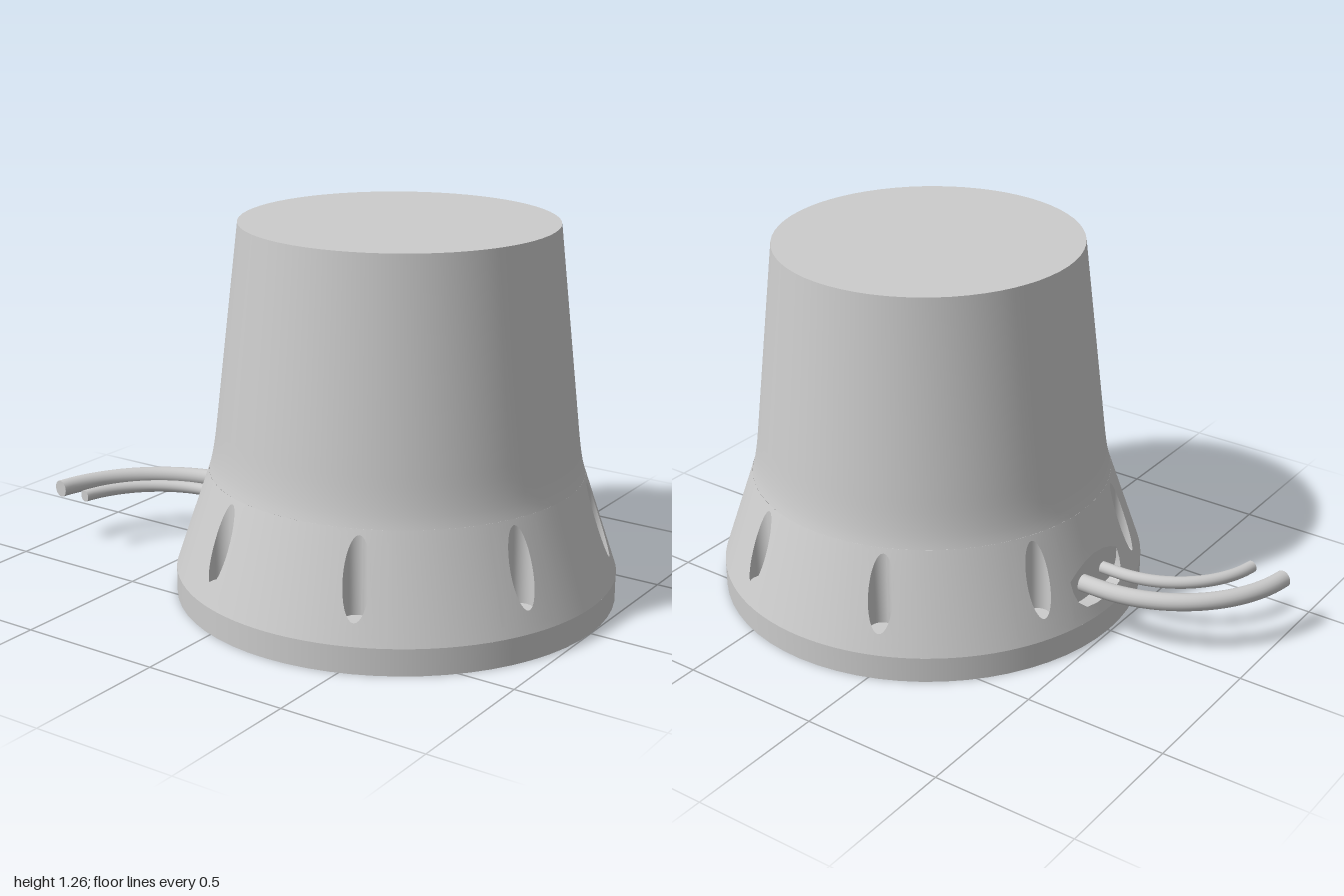
import * as THREE from 'three';
import { toCreasedNormals } from 'three/addons/utils/BufferGeometryUtils.js';

const BASE_R = 0.745, BASE_Y = 0.09, NECK_R = 0.63, NECK_Y = 0.43;
const SLOPE = (BASE_R - NECK_R) / (NECK_Y - BASE_Y);
const BOLT_R = 0.679, BOLT_HOLE = 0.043, STEP = Math.PI / 4;
const N = 8; // segments per side of every pocket outline

// Height of the flared skirt at a radius, and the reverse
const skirtY = r => BASE_Y + (BASE_R - r) / SLOPE;
const skirtR = y => BASE_R - SLOPE * (y - BASE_Y);

// Plan outlines: [u outward, v sideways] for side 0..3 and s in 0..1
function circleOutline(side, s) {
  const a = (side + s - 0.5) * Math.PI / 2;
  return [BOLT_R + BOLT_HOLE * Math.cos(a), BOLT_HOLE * Math.sin(a)];
}
const SLOT_HALF = 0.145, SLOT_ROUND = 0.07, SLOT_BACK = 0.68;
function slotFloor(v) {
  const d = Math.min(SLOT_ROUND, Math.max(0, Math.abs(v) - (SLOT_HALF - SLOT_ROUND)));
  return 0.2 - Math.sqrt(SLOT_ROUND ** 2 - d ** 2);
}
function slotOutline(side, s) {
  const edge = v => Math.sqrt(skirtR(slotFloor(v)) ** 2 - v * v);
  const v = -SLOT_HALF * Math.cos(Math.PI * s);
  if (side === 0) return [edge(v), v];
  if (side === 2) return [SLOT_BACK, -v];
  const t = side === 1 ? s : 1 - s;
  return [THREE.MathUtils.lerp(edge(SLOT_HALF), SLOT_BACK, t), side === 1 ? SLOT_HALF : -SLOT_HALF];
}

// Outline of a skirt sector, matching the order of the pocket sides
function sectorOutline(side, s, half) {
  if (side === 0) return [half * (2 * s - 1), BASE_R];
  if (side === 1) return [half, THREE.MathUtils.lerp(BASE_R, NECK_R, s)];
  if (side === 2) return [half * (1 - 2 * s), NECK_R];
  return [-half, THREE.MathUtils.lerp(NECK_R, BASE_R, s)];
}

function buildSkirt() {
  const pos = [];
  const point = (a, r, y) => [r * Math.cos(a), y, r * Math.sin(a)];
  const quad = (a, b, c, d) => pos.push(...a, ...b, ...c, ...a, ...c, ...d);

  function plainSector(mid, half) {
    for (let i = 0; i < N; i++) {
      const a = mid + half * (2 * i / N - 1), b = mid + half * (2 * (i + 1) / N - 1);
      quad(point(a, BASE_R, BASE_Y), point(a, NECK_R, NECK_Y),
        point(b, NECK_R, NECK_Y), point(b, BASE_R, BASE_Y));
    }
  }

  function pocketSector(mid, half, outline, floorAt) {
    const rings = 3, cols = [], tops = [], floors = [];
    for (let k = 0; k < 4 * N; k++) {
      const side = Math.floor(k / N), s = (k % N) / N;
      const [u, v] = outline(side, s);
      const a = Math.atan2(v, u), r = Math.hypot(u, v);
      const [ba, br] = sectorOutline(side, s, half);
      const col = [];
      for (let j = 0; j <= rings; j++) {
        const t = j / rings, rr = br + (r - br) * t;
        col.push(point(mid + ba + (a - ba) * t, rr, skirtY(rr)));
      }
      cols.push(col);
      tops.push(col[rings]);
      floors.push(point(mid + a, r, floorAt(v)));
    }
    const M = 4 * N;
    for (let k = 0; k < M; k++) {
      const n = (k + 1) % M;
      for (let j = 0; j < rings; j++) quad(cols[k][j], cols[k][j + 1], cols[n][j + 1], cols[n][j]);
      quad(tops[k], floors[k], floors[n], tops[n]); // pocket wall
    }
    // Pocket floor, stitched across from outer edge to back edge
    const f = k => floors[(3.5 * N + k + M) % M];
    for (let k = 0; k < M / 2; k++) quad(f(k), f(M - k), f(M - k - 1), f(k + 1));
  }

  const holeHalf = STEP * 3 / 16, plainHalf = STEP * 5 / 16;
  for (let i = 0; i < 8; i++) {
    pocketSector((i + 0.5) * STEP, holeHalf, circleOutline, () => 0.15);
    if (i === 4) pocketSector(i * STEP, plainHalf, slotOutline, slotFloor);
    else plainSector(i * STEP, plainHalf);
  }
  const g = new THREE.BufferGeometry();
  g.setAttribute('position', new THREE.Float32BufferAttribute(pos, 3));
  return toCreasedNormals(g, 0.3);
}

export function createModel() {
  const model = new THREE.Group();
  model.name = 'bellHousingWithCables';
  const material = new THREE.MeshStandardMaterial({ color: 0xcccccc, side: THREE.DoubleSide });
  const add = (parent, name, geometry) => {
    const mesh = new THREE.Mesh(geometry, material);
    mesh.name = name;
    parent.add(mesh);
    return mesh;
  };
  const V2 = (x, y) => new THREE.Vector2(x, y);

  const housing = new THREE.Group();
  housing.name = 'housing';
  housing.position.x = 0.255;
  model.add(housing);

  // Skirt with bolt recesses and cable slot, above a straight rim
  add(housing, 'skirt', buildSkirt());
  add(housing, 'baseRim', new THREE.CylinderGeometry(BASE_R, BASE_R, BASE_Y, 64, 1, true))
    .position.y = BASE_Y / 2;

  // Tapered upper body with a soft bend above the skirt
  const bend = new THREE.QuadraticBezierCurve(V2(NECK_R, NECK_Y), V2(0.614, 0.478), V2(0.602, 0.59));
  add(housing, 'upperBody', toCreasedNormals(
    new THREE.LatheGeometry([...bend.getPoints(6), V2(0.525, 1.265)], 64).toNonIndexed(), 0.3));
  const top = add(housing, 'topFace', new THREE.CircleGeometry(0.525, 64));
  top.rotation.x = -Math.PI / 2;
  top.position.y = 1.265;

  // Underside with blind screw holes
  const plate = new THREE.Shape().absarc(0, 0, BASE_R, 0, Math.PI * 2);
  const screwR = 0.022, depth = 0.1;
  for (let i = 0; i < 8; i++) {
    const a = (i + 0.5) * STEP, x = BOLT_R * Math.cos(a), z = BOLT_R * Math.sin(a);
    plate.holes.push(new THREE.Path().absarc(x, z, screwR, 0, Math.PI * 2, true));
    add(housing, 'screwHoleWall', new THREE.CylinderGeometry(screwR, screwR, depth, 16, 1, true))
      .position.set(x, depth / 2, z);
    const end = add(housing, 'screwHoleEnd', new THREE.CircleGeometry(screwR, 16));
    end.rotation.x = Math.PI / 2;
    end.position.set(x, depth, z);
  }
  add(housing, 'underside', new THREE.ShapeGeometry(plate, 32)).rotation.x = Math.PI / 2;

  // Two concentric cables leaving the slot and curving to the front
  for (const [name, bendR, r] of [['outerCable', 0.48, 0.03], ['innerCable', 0.355, 0.021]]) {
    const cx = -0.49, cz = 0.41, y = 0.2, sweep = Math.PI / 2 - (name === 'outerCable' ? 0.14 : 0.16);
    const pts = [-0.42, -0.443, -0.466].map(x => new THREE.Vector3(x, y, cz - bendR));
    for (let i = 0; i <= 12; i++) {
      const a = sweep * i / 12;
      pts.push(new THREE.Vector3(cx - bendR * Math.sin(a), y, cz - bendR * Math.cos(a)));
    }
    const path = new THREE.CatmullRomCurve3(pts);
    add(model, name, new THREE.TubeGeometry(path, 40, r, 20));
    const cap = add(model, name + 'End', new THREE.CircleGeometry(r, 20));
    cap.position.copy(path.getPoint(1));
    cap.lookAt(cap.position.clone().add(path.getTangent(1)));
  }
  return model;
}
